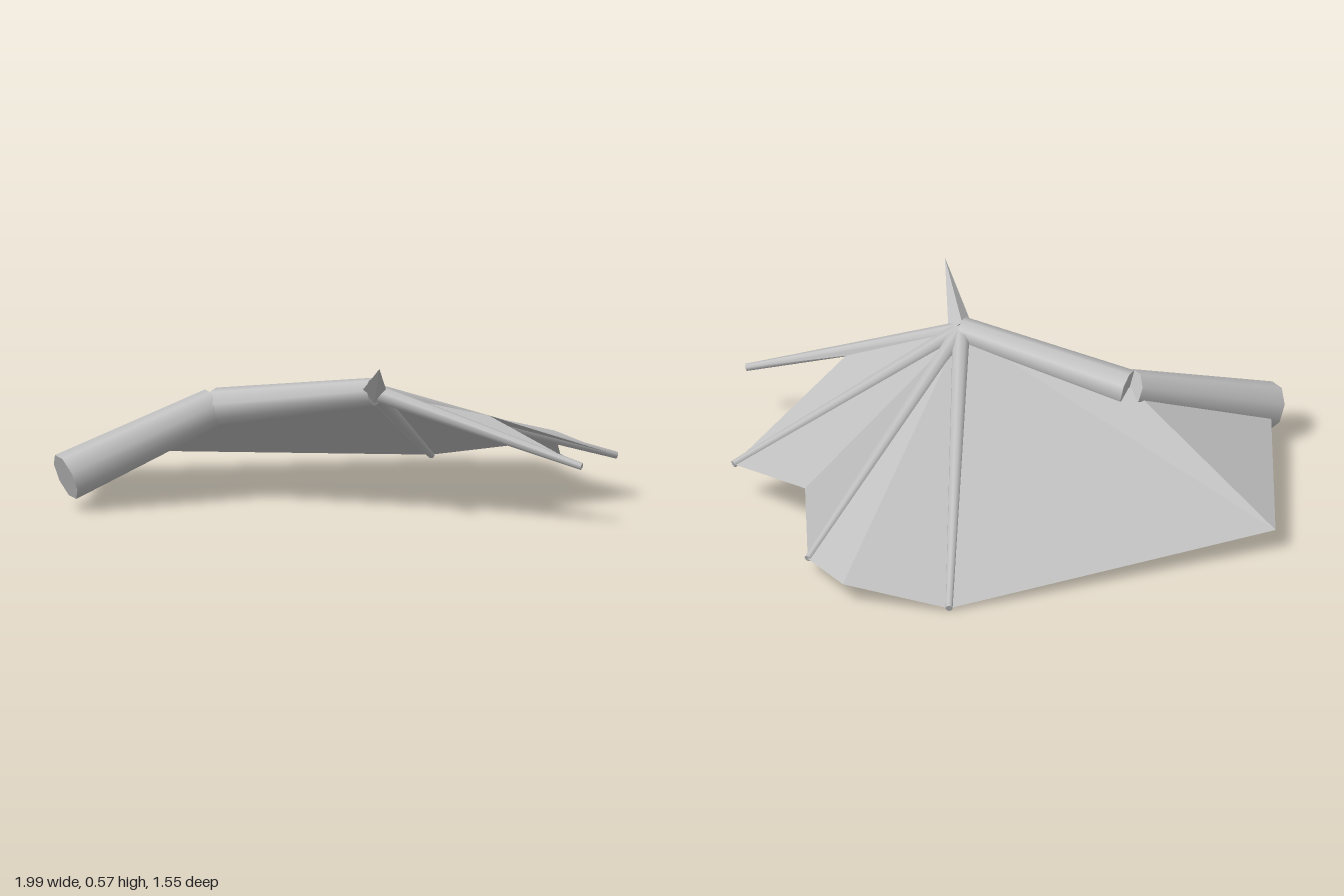
import * as THREE from 'three';

const V = (x, y, z) => new THREE.Vector3(x, y, z);

// Joints of the limb
const shoulder = V(-0.962, 0.118, 0.298);
const elbow = V(-0.43, 0.335, 0.122);
const wrist = V(0.115, 0.438, 0.468);

// Finger tips, front to back, and the notches of the skin between them
const tips = [V(0.83, 0.21, 0.755), V(0.99, 0.155, 0.16), V(0.83, 0.058, -0.40), V(0.395, 0.014, -0.775)];
const notches = [V(0.52, 0.355, 0.51), V(0.79, 0.197, -0.14), V(0.75, 0.075, -0.64)];
const rearCorner = V(-0.82, 0.08, -0.54);

// Tapered rod from a to b
function rod(name, a, b, ra, rb, sides, material) {
  const dir = b.clone().sub(a);
  const mesh = new THREE.Mesh(new THREE.CylinderGeometry(rb, ra, dir.length(), sides), material);
  mesh.position.copy(a).add(b).multiplyScalar(0.5);
  mesh.quaternion.setFromUnitVectors(V(0, 1, 0), dir.normalize());
  mesh.name = name;
  return mesh;
}

// Flat skin panel; triangles wound to face up
function panel(name, triangles, material) {
  const points = triangles.flatMap(([a, b, c]) => {
    const up = b.clone().sub(a).cross(c.clone().sub(a)).y > 0;
    return up ? [a, b, c] : [a, c, b];
  });
  const geometry = new THREE.BufferGeometry().setFromPoints(points);
  geometry.computeVertexNormals();
  const mesh = new THREE.Mesh(geometry, material);
  mesh.name = name;
  return mesh;
}

export function createModel() {
  const wing = new THREE.Group();
  wing.name = 'wing';
  const grey = new THREE.MeshStandardMaterial({ color: 0xc0c0c0, side: THREE.DoubleSide });
  grey.name = 'grey';

  // Arm bones
  wing.add(rod('upperArm', shoulder, elbow, 0.086, 0.068, 8, grey));
  wing.add(rod('forearm', elbow.clone().add(V(0.012, 0, 0)), wrist, 0.068, 0.05, 8, grey));

  // Thumb claw, faceted
  const claw = rod('thumbClaw', wrist, V(0.115, 0.568, 0.775), 0.045, 0, 4, grey);
  claw.geometry = claw.geometry.toNonIndexed();
  claw.geometry.computeVertexNormals();
  wing.add(claw);

  // Finger bones
  tips.forEach((tip, i) => wing.add(rod('finger' + (i + 1), wrist, tip, 0.032, 0.013, 8, grey)));

  // Skin between the fingers, folded at each notch
  notches.forEach((notch, i) => wing.add(panel('fingerSkin' + (i + 1),
    [[wrist, tips[i], notch], [wrist, notch, tips[i + 1]]], grey)));

  // Skin from the last finger back to the arm
  wing.add(panel('armSkin', [[wrist, tips[3], rearCorner], [wrist, rearCorner, elbow]], grey));
  wing.add(panel('shoulderSkin', [[elbow, rearCorner, shoulder]], grey));

  return wing;
}
